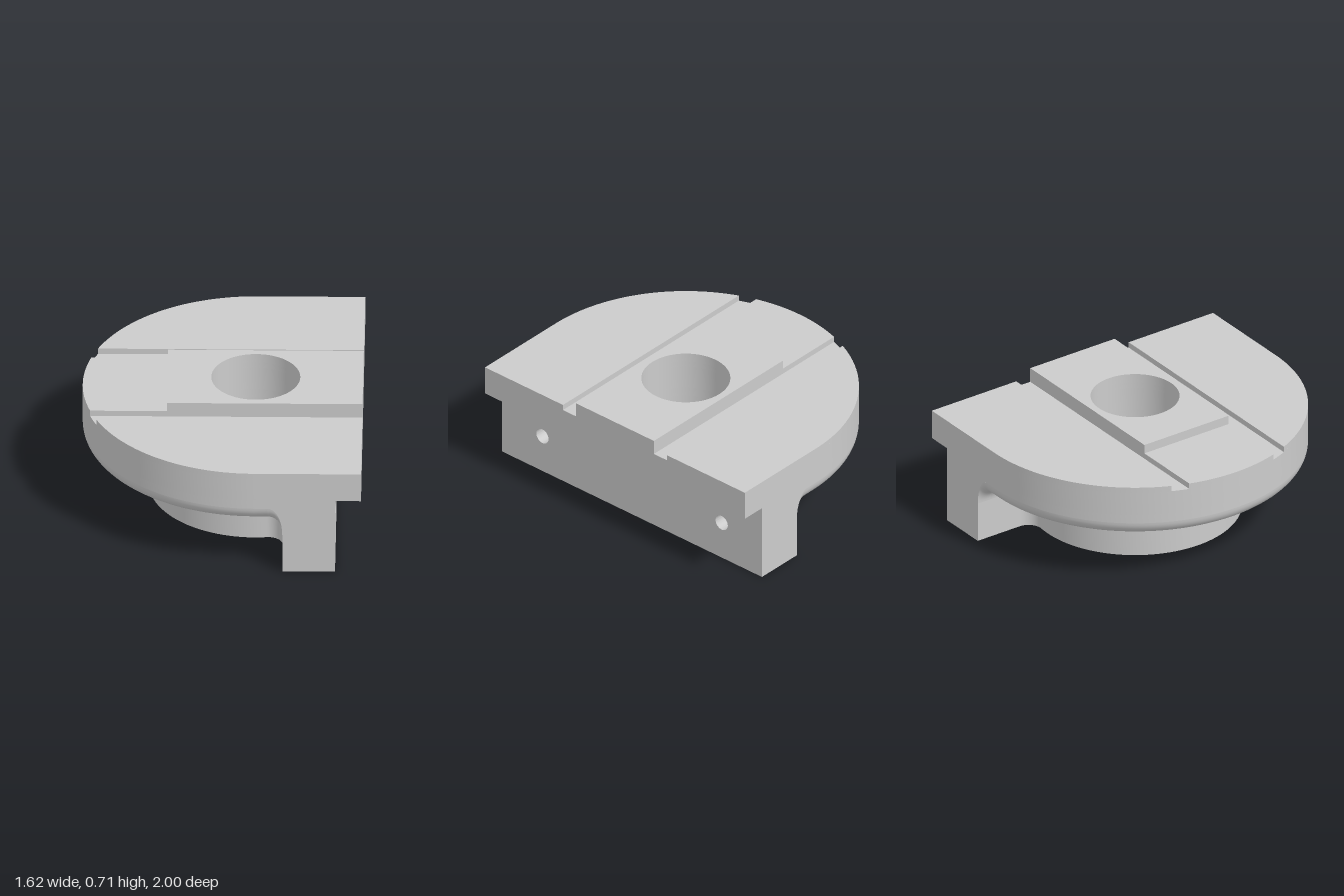
import * as THREE from 'three';
import { toCreasedNormals } from 'three/addons/utils/BufferGeometryUtils.js';

const CX = 0.19;       // axis of the bore, boss and round flange
const FILLET = 0.085;  // concave fillet radius
const ROUND = 0.09;    // rounding under the flange rim
const BORE = 0.257;
const BLOCK_X = 0.355; // inner face of the block
const FX = BLOCK_X - FILLET;                                     // fillet centre x
const FZ = Math.sqrt((0.62 + FILLET) ** 2 - (FX - CX) ** 2);     // fillet centre z

const solid = new THREE.MeshStandardMaterial({ color: 0xcccccc });
const sheet = new THREE.MeshStandardMaterial({ color: 0xcccccc, side: THREE.DoubleSide });

export function createModel() {
  const model = new THREE.Group();

  const add = (name, geometry, material = solid) => {
    const mesh = new THREE.Mesh(geometry, material);
    mesh.name = name;
    model.add(mesh);
    return mesh;
  };

  // Points along an arc in plan
  const arc = (cx, cz, r, a0, a1, n) => Array.from({ length: n + 1 }, (_, i) => {
    const a = a0 + (a1 - a0) * i / n;
    return new THREE.Vector2(cx + r * Math.cos(a), cz + r * Math.sin(a));
  });
  const v = (x, z) => new THREE.Vector2(x, z);

  // Horizontal slab of a plan outline, with an optional round hole on the axis
  const slab = (name, outline, y0, y1, hole = BORE) => {
    const shape = new THREE.Shape(outline);
    if (hole) shape.holes.push(new THREE.Path().absarc(CX, 0, hole, 0, Math.PI * 2, true));
    const geo = new THREE.ExtrudeGeometry(shape, { depth: y1 - y0, bevelEnabled: false, curveSegments: 72 });
    geo.rotateX(-Math.PI / 2).translate(0, y0, 0);
    return add(name, toCreasedNormals(geo, 0.5));
  };

  // Smooth sheet through rows of [x, y, z] points
  const surface = (name, rows) => {
    const w = rows[0].length, index = [];
    for (let i = 0; i < rows.length - 1; i++) {
      for (let j = 0; j < w - 1; j++) {
        const a = i * w + j, b = a + w;
        index.push(a, b, a + 1, b, b + 1, a + 1);
      }
    }
    const geo = new THREE.BufferGeometry();
    geo.setAttribute('position', new THREE.Float32BufferAttribute(rows.flat(2), 3));
    geo.setIndex(index);
    geo.computeVertexNormals();
    return add(name, geo, sheet);
  };
  const steps = (n) => Array.from({ length: n + 1 }, (_, i) => i / n * Math.PI / 2);

  // D-shaped flange outline, ending at xEnd
  const dShape = (xEnd, inset = 0) => {
    const r = 1 - inset;
    return [v(xEnd, r), ...arc(CX, 0, r, Math.PI / 2, Math.PI * 1.5, 96), v(xEnd, -r)];
  };

  // Boss outline blended into the block face, grown outward by o
  const neck = (o, zEnd) => {
    const d = Math.atan2(FX - CX, FZ);
    const half = [v(BLOCK_X - o, zEnd), ...arc(FX, FZ, FILLET - o, 0, -(Math.PI / 2 + d), 12)];
    const mirrored = half.map((p) => v(p.x, -p.y)).reverse();
    return [...half, ...arc(CX, 0, 0.62 + o, Math.PI / 2 - d, Math.PI * 1.5 + d, 72).slice(1, -1), ...mirrored];
  };

  // Boss and inner part of the block, with a counterbore from below
  const foot = [v(0.52, 1), ...neck(0, 1), v(0.52, -1)];
  slab('counterboredFoot', foot, 0, 0.22, 0.32);
  slab('upperFoot', foot, 0.22, 0.42);

  // Fillet from boss and block up to the flange
  surface('neckFillet', steps(10).map((a) =>
    neck(FILLET * (1 - Math.cos(a)), 1 - ROUND).map((p) => [p.x, 0.245 + FILLET * Math.sin(a), p.y])));

  // Flange body and its rounded lower rim
  slab('flangeUnderside', dShape(0.52, ROUND), 0.33, 0.42);
  slab('flangeLower', dShape(0.52), 0.42, 0.475);
  slab('flangeUpper', dShape(0.81), 0.475, 0.62);
  surface('flangeRimRounding', steps(10).map((a) =>
    dShape(FX, ROUND * (1 - Math.sin(a))).map((p) => [p.x, 0.42 - ROUND * Math.cos(a), p.y])));

  // Ends of the block fillet, where it follows the rounded rim
  for (const s of [1, -1]) {
    surface('filletEnd', steps(10).map((b) => steps(10).map((a) => [
      FX + FILLET * Math.cos(a),
      0.245 + (FILLET + ROUND * (1 - Math.cos(b))) * Math.sin(a),
      s * (1 - ROUND + ROUND * Math.sin(b)),
    ])));
    const web = new THREE.Shape([
      ...steps(12).map((a) => v(FX + FILLET * Math.cos(a), 0.245 + (FILLET + ROUND) * Math.sin(a))),
      v(BLOCK_X, 0.42),
    ]);
    add('filletEndFace', new THREE.ShapeGeometry(web).translate(0, 0, s), sheet);
  }

  // Outer plate of the block with two drilled holes
  const plate = new THREE.Shape([v(-1, 0), v(1, 0), v(1, 0.475), v(-1, 0.475)]);
  for (const z of [-0.69, 0.69]) {
    plate.holes.push(new THREE.Path().absarc(z, 0.24, 0.047, 0, Math.PI * 2, true));
    const tip = new THREE.ConeGeometry(0.047, 0.03, 32, 1, true);
    tip.rotateZ(Math.PI / 2).translate(0.54, 0.24, z);
    add('drillTip', tip, sheet);
  }
  const plateGeo = new THREE.ExtrudeGeometry(plate, { depth: 0.14, bevelEnabled: false, curveSegments: 32 });
  plateGeo.rotateY(Math.PI / 2).translate(0.52, 0, 0);
  add('drilledPlate', toCreasedNormals(plateGeo, 0.5));

  // Top lands, leaving two grooves between them
  const a3 = Math.asin(0.3), a4 = Math.asin(0.4);
  slab('middleLand', [v(0.81, 0.3), ...arc(CX, 0, 1, Math.PI - a3, Math.PI + a3, 24), v(0.81, -0.3)], 0.62, 0.655);
  const side = [v(0.81, 0.4), v(0.81, 1), ...arc(CX, 0, 1, Math.PI / 2, Math.PI - a4, 40)];
  slab('sideLand', side, 0.62, 0.655, 0);
  slab('sideLand', side.map((p) => v(p.x, -p.y)).reverse(), 0.62, 0.655, 0);

  // Raised key around the bore
  slab('raisedKey', [v(-0.32, -0.3), v(0.81, -0.3), v(0.81, 0.3), v(-0.32, 0.3)], 0.655, 0.71);

  return model;
}
